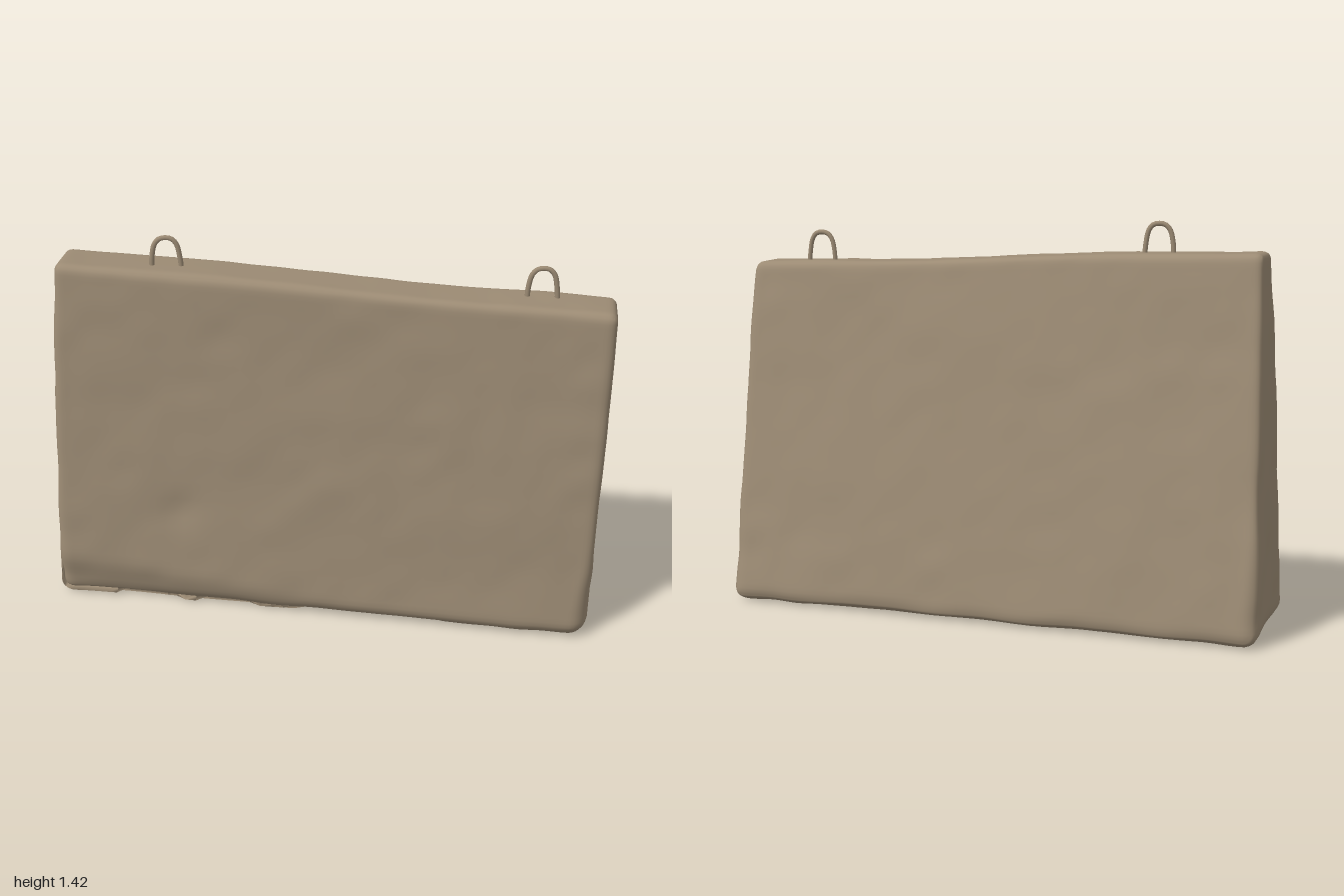
import * as THREE from 'three';
import { mergeVertices } from 'three/addons/utils/BufferGeometryUtils.js';

const { lerp, clamp, smoothstep } = THREE.MathUtils;

// Smooth seeded value noise, about -1..1
function hash(i, j, k) {
  const s = Math.sin(i * 127.1 + j * 311.7 + k * 74.7) * 43758.5453;
  return (s - Math.floor(s)) * 2 - 1;
}
function noise(x, y, z) {
  const i = Math.floor(x), j = Math.floor(y), k = Math.floor(z);
  const f = (t) => t * t * (3 - 2 * t);
  const u = f(x - i), v = f(y - j), w = f(z - k);
  const row = (b, c) => lerp(hash(i, b, c), hash(i + 1, b, c), u);
  const layer = (c) => lerp(row(j, c), row(j + 1, c), v);
  return lerp(layer(k), layer(k + 1), w);
}

// Sloping top edge of the slab
const topY = (x) => 1.288 - 0.038 * x + 0.004 * Math.sin(x * 5 + 3);

// Tapered block with worn, rounded edges
function slabGeometry() {
  let geo = new THREE.BoxGeometry(2, 2, 2, 64, 44, 20);
  geo.deleteAttribute('normal');
  geo.deleteAttribute('uv');
  geo = mergeVertices(geo);
  const pos = geo.attributes.position;
  const p = new THREE.Vector3(), inner = new THREE.Vector3(), d = new THREE.Vector3();
  const dense = (u) => lerp(u, Math.sin(u * Math.PI / 2), 0.75); // finer rows near edges

  for (let n = 0; n < pos.count; n++) {
    const u = dense(pos.getX(n)), v = dense(pos.getY(n)), w = dense(pos.getZ(n));
    const t = (v + 1) / 2;
    // extents at this height
    const x0 = lerp(-1.0, -0.945, t), x1 = lerp(0.977, 0.992, t);
    const z0 = lerp(-0.28, -0.008, t), z1 = lerp(0.272, 0.172, t);
    const x = lerp(x0, x1, (u + 1) / 2);
    const y0 = 0.004, y1 = topY(x);
    p.set(x, lerp(y0, y1, t), lerp(z0, z1, (w + 1) / 2));

    // edge radius: larger and chipped near the ground
    const low = 1 - smoothstep(p.y, 0.05, 0.4);
    const r = 0.03 + low * (0.03 + 0.012 * noise(x * 6 + 9, 2, w * 2));
    inner.set(clamp(p.x, x0 + r, x1 - r), clamp(p.y, y0 + r, y1 - r), clamp(p.z, z0 + r, z1 - r));
    d.subVectors(p, inner).normalize();
    p.copy(inner).addScaledVector(d, r);

    // uneven surface
    const a = 0.005 * noise(p.x * 4 + 5, p.y * 4, p.z * 5) + 0.003 * noise(p.x * 11, p.y * 11 + 3, p.z * 9);
    p.addScaledVector(d, a * (Math.abs(d.y) > 0.5 ? 0.6 : 1));

    // broken lower front corner and a shallow dent in the front face
    if (d.z > 0.3) {
      const chip = smoothstep(0.19 - p.y - 0.12 * smoothstep(p.x, -1, 0.4), 0, 0.15);
      p.z -= 0.035 * chip;
      p.z -= 0.014 * Math.exp(-((p.x + 0.52) ** 2 + (p.y - 0.41) ** 2) / 0.005);
    }
    p.y = Math.max(p.y, 0);
    pos.setXYZ(n, p.x, p.y, p.z);
  }
  geo.computeVertexNormals();
  return geo;
}

// Bent-rod lifting loop
function loopGeometry() {
  const points = [[-0.052, -0.04], [-0.05, 0.03], [-0.038, 0.08], [-0.018, 0.099],
    [0.018, 0.099], [0.036, 0.08], [0.047, 0.03], [0.052, -0.04]];
  const curve = new THREE.CatmullRomCurve3(points.map(([x, y]) => new THREE.Vector3(x, y, 0)));
  return new THREE.TubeGeometry(curve, 28, 0.009, 8, false);
}

export function createModel() {
  const group = new THREE.Group();
  const stone = new THREE.MeshStandardMaterial({ color: 0x9c8b74 });
  stone.name = 'weathered concrete';

  const slab = new THREE.Mesh(slabGeometry(), stone);
  slab.name = 'barrierBlock';
  group.add(slab);

  // One loop near each end of the top
  const loop = loopGeometry();
  [['rightLiftingLoop', -0.557, 1.311, 0.092, 0.12], ['leftLiftingLoop', 0.738, 1.264, 0.06, 0.06]]
    .forEach(([name, x, y, z, turn]) => {
      const mesh = new THREE.Mesh(loop, stone);
      mesh.name = name;
      mesh.position.set(x, y, z);
      mesh.rotation.y = turn;
      group.add(mesh);
    });
  return group;
}
